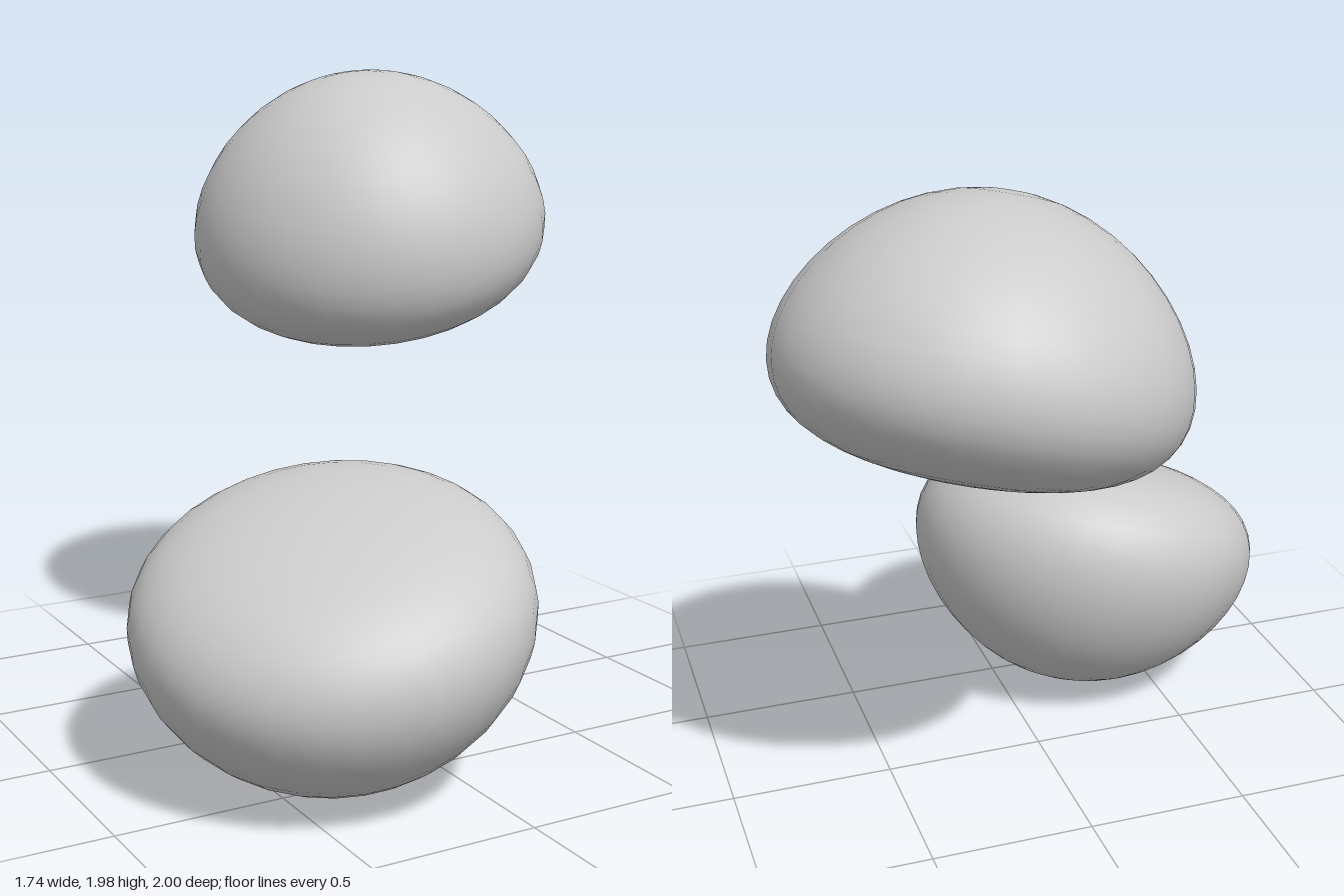
import * as THREE from 'three';
import { mergeVertices } from 'three/addons/utils/BufferGeometryUtils.js';

// Sphere flattened below and domed above by one smooth rule, slightly narrow in depth
function pebbleGeometry(width, height, depth, bend) {
  const geometry = new THREE.SphereGeometry(1, 32, 24);
  geometry.deleteAttribute('uv');
  geometry.deleteAttribute('normal');
  const position = geometry.attributes.position;
  for (let i = 0; i < position.count; i++) {
    const y = position.getY(i);
    position.setXYZ(i, position.getX(i) * width, y * height + y * y * bend, position.getZ(i) * depth);
  }
  const welded = mergeVertices(geometry);
  welded.computeVertexNormals();
  return welded;
}

export function createModel() {
  const group = new THREE.Group();
  group.name = 'twinPebbles';
  const material = new THREE.MeshStandardMaterial({ color: 0xcccccc });
  const geometry = pebbleGeometry(0.578, 0.396, 0.566, 0.1);

  // The two pebbles mirror each other through the middle point
  const middle = new THREE.Vector3(0, 0.992, 0);
  const offset = new THREE.Vector3(0.311, 0.49, -0.441);
  const tilt = THREE.MathUtils.degToRad(21.5);
  const yaw = THREE.MathUtils.degToRad(-45);

  for (const [name, side, flip] of [['upperPebble', 1, 0], ['lowerPebble', -1, Math.PI]]) {
    const pebble = new THREE.Mesh(geometry, material);
    pebble.name = name;
    pebble.position.copy(middle).addScaledVector(offset, side);
    pebble.rotation.set(tilt + flip, yaw, 0, 'YXZ');
    group.add(pebble);
  }
  return group;
}
